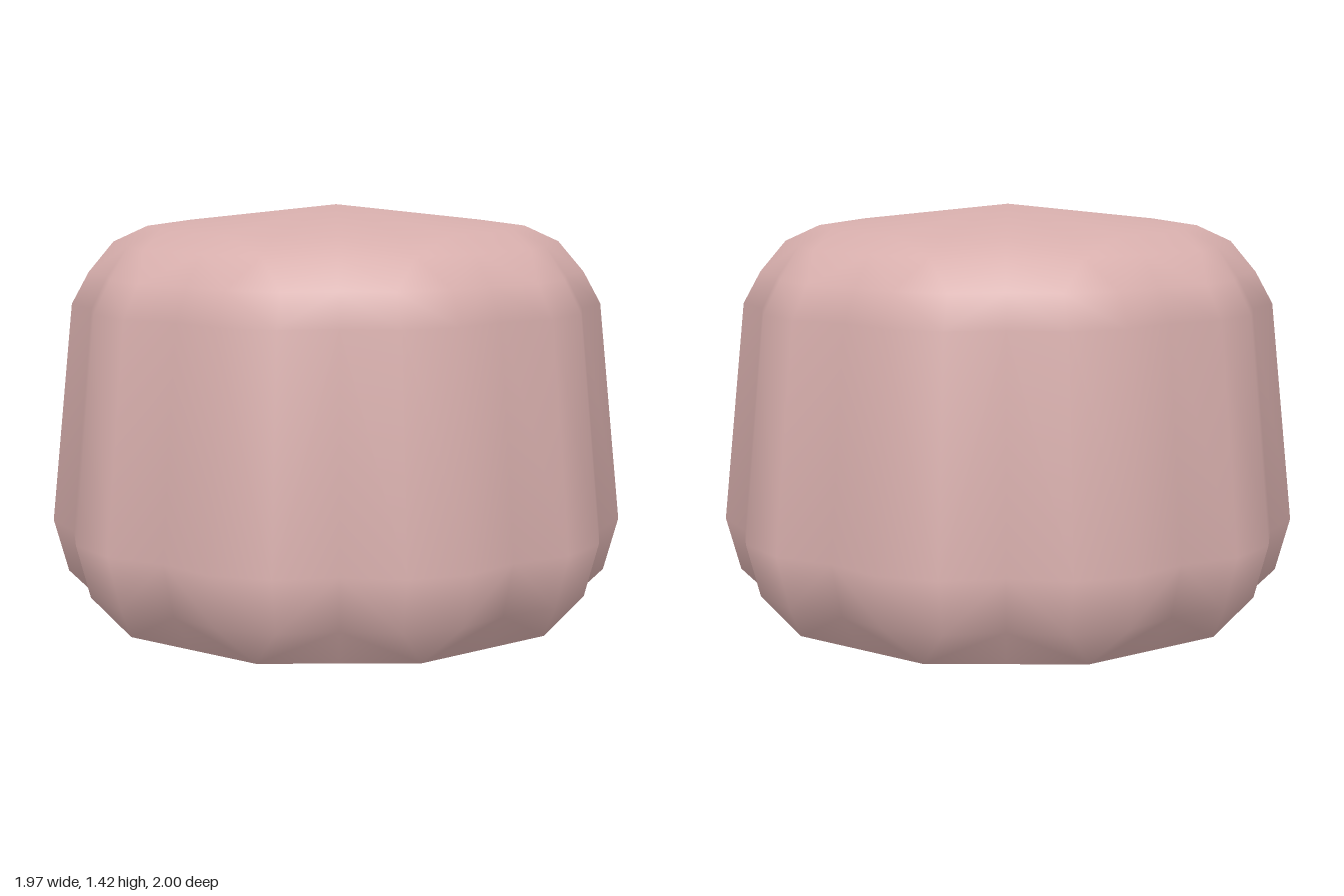
import * as THREE from 'three';

const LOBES = 10;
const STEP = (Math.PI * 2) / LOBES;

// Outline of one ring: each lobe gives two crest points and one notch point.
// A pointed ring closes the two crest points into a single corner (a decagon).
function ring(y, r, pointed) {
  const points = [];
  const half = pointed ? 0 : STEP / 6;
  const put = (angle, radius) => points.push([Math.sin(angle) * radius, y, Math.cos(angle) * radius]);
  for (let i = 0; i < LOBES; i++) {
    const a = i * STEP;
    put(a - half, r);
    put(a + half, r);
    put(a + STEP / 2, r * (pointed ? Math.cos(STEP / 2) : 0.945));
  }
  return points;
}

export function createModel() {
  const skin = new THREE.MeshStandardMaterial({ color: 0xd8afad });
  skin.name = 'dusty pink';

  // Height, crest radius, pointed ring
  const rings = [
    [0, 0.855, true],
    [0.13, 0.955, false],
    [0.315, 1.005, false],
    [1.08, 0.925, false],
    [1.19, 0.865, false],
    [1.29, 0.782, true],
    [1.345, 0.662, true],
  ].map(([y, r, p]) => ring(y, r, p));

  const n = LOBES * 3;
  const positions = rings.flat(2);
  const index = [];
  // Corners of a pointed ring share one vertex, so its normals stay smooth
  const id = (k, j) => {
    j %= n;
    const pointed = k === 0 || k >= 5;
    return k * n + (pointed && j % 3 === 1 ? j - 1 : j);
  };
  const tri = (a, b, c) => {
    if (a !== b && b !== c && a !== c) index.push(a, b, c);
  };

  // Lobed wall and shoulder
  for (let k = 0; k < rings.length - 1; k++) {
    for (let j = 0; j < n; j++) {
      const a = id(k, j), b = id(k, j + 1), c = id(k + 1, j + 1), d = id(k + 1, j);
      if (j % 3 === 1) {
        tri(a, b, c);
        tri(a, c, d);
      } else {
        tri(a, b, d);
        tri(b, c, d);
      }
    }
  }

  // Low domed top
  const apex = positions.length / 3;
  positions.push(0, 1.42, 0);
  for (let j = 0; j < n; j++) tri(id(6, j), id(6, j + 1), apex);

  const bodyGeometry = new THREE.BufferGeometry();
  bodyGeometry.setAttribute('position', new THREE.Float32BufferAttribute(positions, 3));
  bodyGeometry.setIndex(index);
  bodyGeometry.computeVertexNormals();
  const body = new THREE.Mesh(bodyGeometry, skin);
  body.name = 'lobedBody';

  // Flat ten-sided underside with a sharp rim
  const base = new THREE.Mesh(new THREE.CircleGeometry(0.855, LOBES, Math.PI / 2), skin);
  base.rotation.x = Math.PI / 2;
  base.name = 'flatBase';

  const model = new THREE.Group();
  model.name = 'lobedCushion';
  model.add(body, base);
  return model;
}
